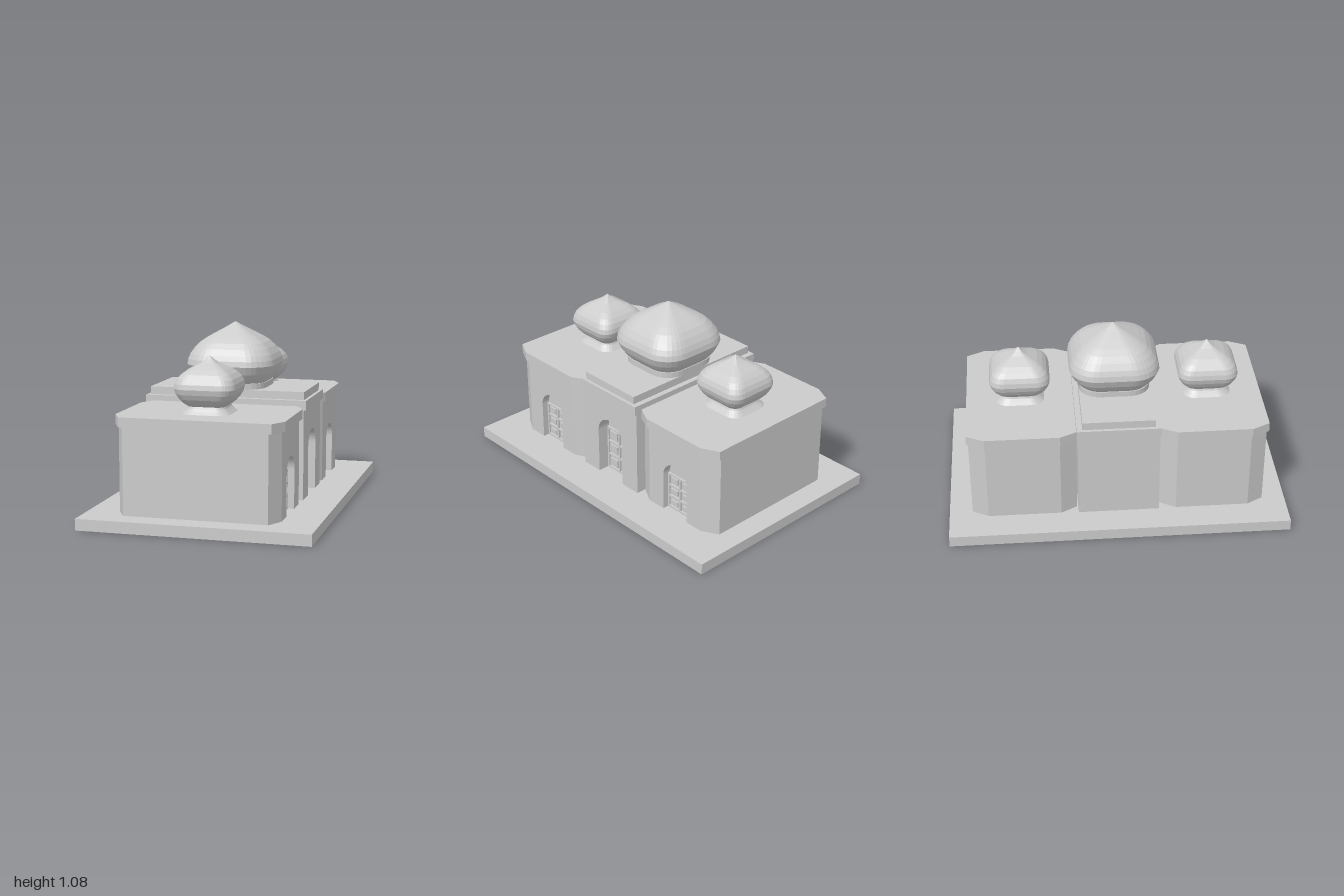
import * as THREE from 'three';

const CX = -0.018;      // building axis, slightly off the plinth centre
const FLOOR = 0.066;    // top of the plinth
const grey = new THREE.MeshStandardMaterial({ color: 0xcccccc, flatShading: true });

function add(parent, name, geometry, x = 0, y = 0, z = 0) {
  const mesh = new THREE.Mesh(geometry, grey);
  mesh.name = name;
  mesh.position.set(x, y, z);
  parent.add(mesh);
  return mesh;
}

// Vertical prism over a plan of [x, z] points
function prism(points, height) {
  const shape = new THREE.Shape(points.map(([x, z]) => new THREE.Vector2(x, -z)));
  return new THREE.ExtrudeGeometry(shape, { depth: height, bevelEnabled: false }).rotateX(-Math.PI / 2);
}

// Plan with four cut corners (cx, cz) and an optional doorway notch in the +x side
function plan(hx, hz, cx, cz, notch) {
  const pts = [];
  if (notch) {
    const { half, depth } = notch;
    pts.push([hx, -half], [hx - depth, -half], [hx - depth, half], [hx, half]);
  }
  if (cx) {
    pts.push([hx, hz - cz], [hx - cx, hz], [cx - hx, hz], [-hx, hz - cz],
      [-hx, cz - hz], [cx - hx, -hz], [hx - cx, -hz], [hx, cz - hz]);
  } else {
    pts.push([hx, hz], [-hx, hz], [-hx, -hz], [hx, -hz]);
  }
  return pts;
}

// Wall filling above the arched doorway
function archFill(half, spring, top, depth) {
  const s = new THREE.Shape();
  s.moveTo(-half, spring);
  s.lineTo(-half, top);
  s.lineTo(half, top);
  s.lineTo(half, spring);
  s.absarc(0, spring, half, 0, Math.PI, false);
  return new THREE.ExtrudeGeometry(s, { depth, bevelEnabled: false, curveSegments: 16 }).rotateY(Math.PI / 2);
}

// Door at the back of a niche: frame bars with raised panels
function addDoor(parent, x, half, spring) {
  const door = new THREE.Group();
  door.name = 'door';
  const height = spring - FLOOR, rows = 3, bar = 0.012;
  for (const z of [-half + bar / 2, 0, half - bar / 2])
    add(door, 'doorStile', new THREE.BoxGeometry(0.016, height, bar), x, FLOOR + height / 2, z);
  for (let i = 0; i <= rows; i++)
    add(door, 'doorRail', new THREE.BoxGeometry(0.016, bar, half * 2), x, FLOOR + bar / 2 + (height - bar) * i / rows, 0);
  for (let i = 0; i < rows; i++)
    for (const s of [-1, 1])
      add(door, 'doorPanel', new THREE.BoxGeometry(0.012, height / rows - 0.045, half - 0.04),
        x, FLOOR + height * (i + 0.5) / rows, s * half / 2);
  parent.add(door);
}

// Walls with an arched doorway
function addWalls(parent, hx, hz, cx, cz, top, half, spring, depth) {
  add(parent, 'walls', prism(plan(hx, hz, cx, cz, { half, depth }), top - FLOOR), 0, FLOOR, 0);
  add(parent, 'doorArch', archFill(half, spring, top, depth), hx - depth, 0, 0);
  addDoor(parent, hx - depth + 0.004, half, spring);
}

// Loft of rounded squares; profile rows are [half width, y], round is the corner share
function roundedSquareLoft(profile, round, seg = 6) {
  const ring = [];
  for (let q = 0; q < 4; q++) {
    const mid = Math.PI / 4 + q * Math.PI / 2;
    const ox = Math.sign(Math.cos(mid)) * (1 - round), oz = Math.sign(Math.sin(mid)) * (1 - round);
    for (let i = 0; i <= seg; i++) {
      const t = (q + i / seg) * Math.PI / 2;
      ring.push([ox + round * Math.cos(t), oz + round * Math.sin(t)]);
    }
  }
  const n = ring.length, pos = [], index = [];
  for (const [r, y] of profile) for (const [x, z] of ring) pos.push(x * r, y, z * r);
  for (let j = 0; j < profile.length - 1; j++) {
    for (let i = 0; i < n; i++) {
      const a = j * n + i, b = j * n + (i + 1) % n;
      index.push(a, a + n, b);
      if (profile[j + 1][0] > 0) index.push(b, a + n, b + n);
    }
  }
  const g = new THREE.BufferGeometry();
  g.setAttribute('position', new THREE.Float32BufferAttribute(pos, 3));
  g.setIndex(index);
  const flat = g.toNonIndexed();
  flat.computeVertexNormals();
  return flat;
}

const MAIN_DOME = [[0.205, 0.735], [0.225, 0.76], [0.245, 0.79], [0.265, 0.838], [0.259, 0.87], [0.246, 0.9],
  [0.222, 0.935], [0.192, 0.967], [0.155, 0.993], [0.105, 1.022], [0.055, 1.05], [0, 1.083]];
const SMALL_DOME = [[0.108, 0.663], [0.132, 0.682], [0.153, 0.706], [0.169, 0.735], [0.177, 0.765], [0.172, 0.793],
  [0.16, 0.82], [0.138, 0.845], [0.108, 0.868], [0.075, 0.886], [0.046, 0.902], [0.022, 0.92], [0, 0.942]];

export function createModel() {
  const model = new THREE.Group();
  model.name = 'domedBuilding';

  add(model, 'plinth', new THREE.BoxGeometry(1.333, FLOOR, 2), 0, FLOOR / 2, 0);

  // Central hall with stepped roof and large dome
  const hall = new THREE.Group();
  hall.name = 'centralHall';
  hall.position.x = CX;
  model.add(hall);
  addWalls(hall, 0.472, 0.238, 0, 0, 0.6, 0.105, 0.35, 0.08);
  add(hall, 'hallCornice', new THREE.BoxGeometry(0.974, 0.055, 0.486), 0, 0.6275, 0);
  add(hall, 'roofStep', new THREE.BoxGeometry(0.936, 0.046, 0.42), 0, 0.678, 0);
  add(hall, 'drum', roundedSquareLoft([[0.21, 0.69], [0.21, 0.735], [0.2, 0.736]], 0.6));
  add(hall, 'mainDome', roundedSquareLoft(MAIN_DOME, 0.61, 8));

  // Two matching wings with cut corners and small domes
  for (const side of [1, -1]) {
    const wing = new THREE.Group();
    wing.name = side > 0 ? 'frontWing' : 'backWing';
    wing.position.set(CX, 0, side * 0.555);
    model.add(wing);
    addWalls(wing, 0.468, 0.31, 0.053, 0.095, 0.57, 0.097, 0.296, 0.05);
    add(wing, 'wingCornice', prism(plan(0.486, 0.32, 0.052, 0.103), 0.056), 0, 0.566, 0);
    add(wing, 'domeFoot', roundedSquareLoft([[0.143, 0.62], [0.125, 0.638], [0.113, 0.652], [0.108, 0.664]], 0.5));
    add(wing, 'smallDome', roundedSquareLoft(SMALL_DOME, 0.44));
  }
  return model;
}
